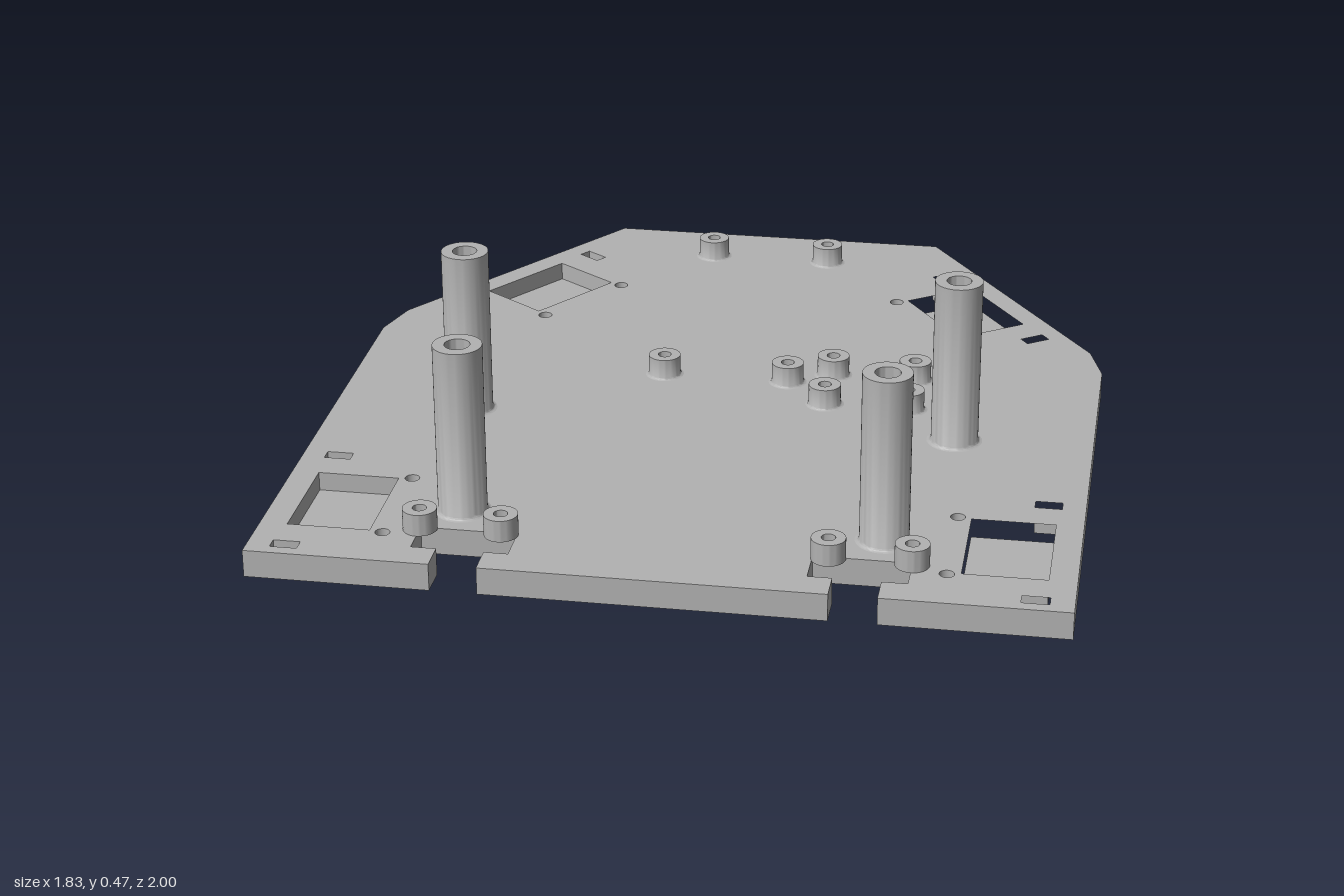
import * as THREE from 'three';
import { toCreasedNormals } from 'three/addons/utils/BufferGeometryUtils.js';

const THICK = 0.065, FLOOR = 0.02;

export function createModel() {
  const root = new THREE.Group();
  root.name = 'chassisPlate';
  const grey = new THREE.MeshStandardMaterial({ color: 0xb2b2b2 });
  grey.name = 'plain grey';

  const add = (name, geometry, x = 0, y = 0, z = 0) => {
    const mesh = new THREE.Mesh(geometry, grey);
    mesh.name = name;
    mesh.position.set(x, y, z);
    root.add(mesh);
    return mesh;
  };
  const toPoint = ([x, z]) => new THREE.Vector2(x, -z);

  // Plate outline: right half, then mirrored
  const half = [
    [0.43, -1], [0.88, -0.355], [0.915, -0.235], [0.915, 1], [0.494, 1], [0.494, 0.925],
    [0.552, 0.925], [0.552, 0.83], [0.332, 0.83], [0.332, 0.925], [0.387, 0.925], [0.387, 1],
  ];
  const outline = [...half, ...half.map(([x, z]) => [-x, z]).reverse()];
  const plate = new THREE.Shape(outline.map(toPoint));

  // Wheel mounts: a pocket, two strap slots and two round holes each
  const mounts = [
    { x: 0.757, z: 0.73, angle: 0 },
    { x: 0.547, z: -0.564, angle: 0.611 },
  ];
  for (const m of mounts) {
    for (const side of [1, -1]) {
      const c = Math.cos(m.angle), s = Math.sin(m.angle);
      const place = (n, u) => [side * (m.x + n * c + u * s), m.z - n * s + u * c];
      const rect = (n, u, w, d) => [[-1, -1], [1, -1], [1, 1], [-1, 1]]
        .map(([i, j]) => toPoint(place(n + i * w / 2, u + j * d / 2)));
      plate.holes.push(new THREE.Path(rect(0, 0, 0.19, 0.262)));
      for (const e of [1, -1]) {
        plate.holes.push(new THREE.Path(rect(0.073, e * 0.226, 0.062, 0.031)));
        const p = toPoint(place(-0.126, e * 0.137));
        plate.holes.push(new THREE.Path().absarc(p.x, p.y, 0.017, 0, Math.PI * 2));
      }
      // Pocket floor
      const floor = add('pocketFloor', new THREE.BoxGeometry(0.19, FLOOR, 0.262),
        side * m.x, FLOOR / 2, m.z);
      floor.rotation.y = side * m.angle;
    }
  }
  const plateGeo = new THREE.ExtrudeGeometry(plate, { depth: THICK, bevelEnabled: false, curveSegments: 24 });
  plateGeo.rotateX(-Math.PI / 2);
  add('basePlate', plateGeo);

  // Hollow standoff with a small fillet at its foot
  const standoff = (radius, bore, height, fillet) => {
    const pts = [];
    for (let i = 0; i <= 4; i++) {
      const a = (i / 4) * Math.PI / 2;
      pts.push([radius + fillet * (1 - Math.sin(a)), fillet * (1 - Math.cos(a))]);
    }
    pts.push([radius, height], [bore, height], [bore, 0.002], [0, 0.002]);
    return turned(pts);
  };
  const turned = (pts) => toCreasedNormals(
    new THREE.LatheGeometry(pts.map(([x, y]) => new THREE.Vector2(x, y)), 48), 0.7);

  // Tall pillars
  const pillar = standoff(0.056, 0.029, 0.409, 0.01);
  for (const s of [1, -1]) {
    add('pillar', pillar, s * 0.587, THICK, 0.197);
    add('pillar', pillar, s * 0.479, THICK, 0.73);
  }

  // Short board standoffs
  const boss = standoff(0.039, 0.016, 0.052, 0.008);
  for (const z of [-0.845, -0.07]) for (const x of [-0.155, 0.152]) add('boardStandoff', boss, x, THICK, z);
  for (const z of [-0.128, 0.043]) for (const x of [0.258, 0.461]) add('sensorStandoff', boss, x, THICK, z);

  // Open rings overhanging the corners of the rear notches
  const ring = turned([[0.016, 0], [0.039, 0], [0.039, 0.052], [0.016, 0.052], [0.016, 0]]);
  for (const s of [1, -1]) for (const x of [0.367, 0.552]) add('notchStandoff', ring, s * x, THICK, 0.836);

  return root;
}
